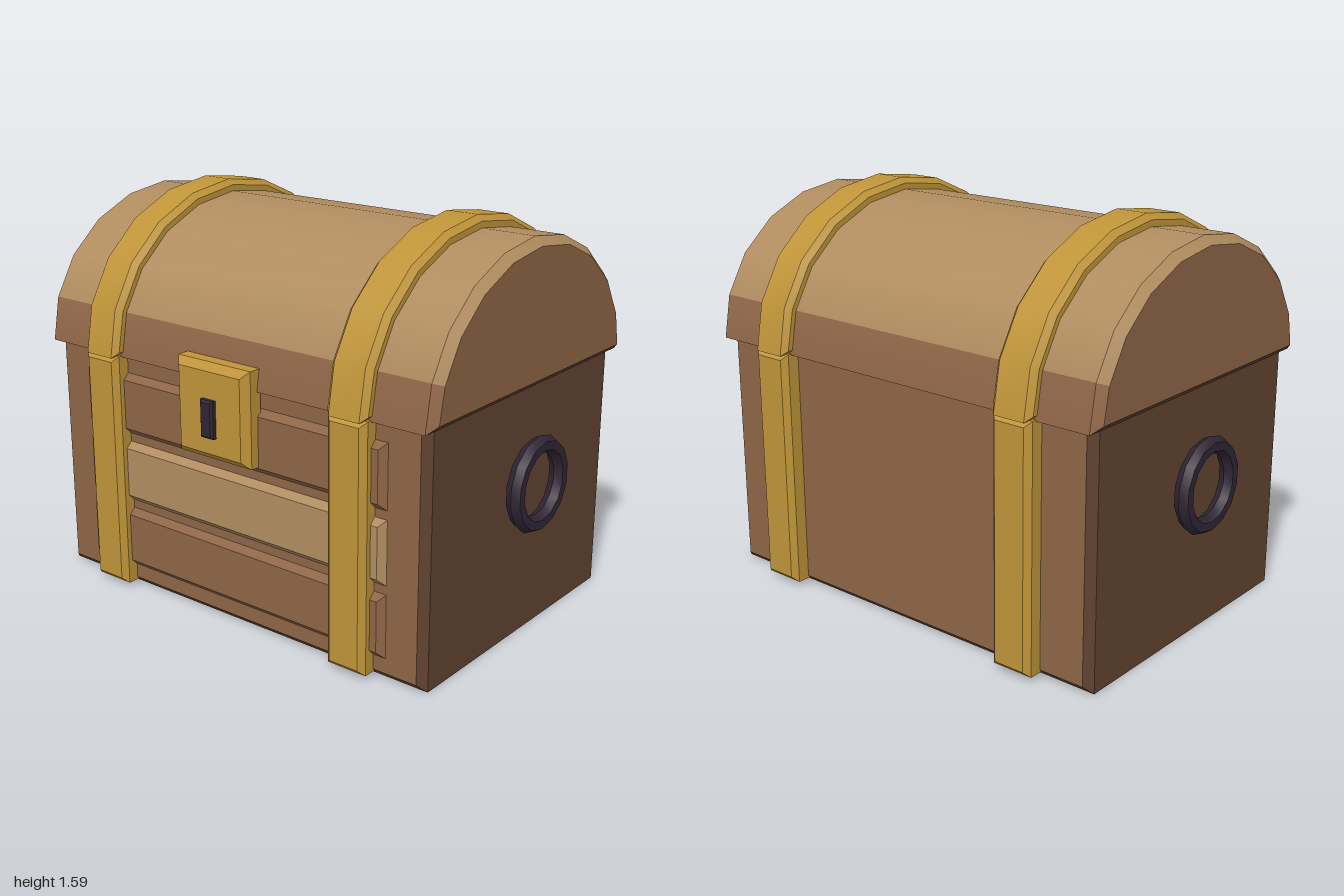
import * as THREE from 'three';
import { toCreasedNormals } from 'three/addons/utils/BufferGeometryUtils.js';

const mat = (name, color) => {
  const m = new THREE.MeshStandardMaterial({ color });
  m.name = name;
  return m;
};

// Extrude a shape along z, centred, with chamfered edges kept inside its outline
function chamferExtrude(shape, depth, bevel) {
  const g = new THREE.ExtrudeGeometry(shape, {
    depth: depth - 2 * bevel, bevelEnabled: true, bevelSegments: 1,
    bevelSize: bevel, bevelThickness: bevel, bevelOffset: -bevel,
  });
  g.translate(0, 0, bevel - depth / 2);
  return g;
}

// Box from minimum and maximum corners, chamfered on its front and back edges
function chamferBox(x0, x1, y0, y1, z0, z1, bevel) {
  const s = new THREE.Shape([[x0, y0], [x1, y0], [x1, y1], [x0, y1]].map(p => new THREE.Vector2(...p)));
  const g = chamferExtrude(s, z1 - z0, bevel);
  g.translate(0, 0, (z0 + z1) / 2);
  return g;
}

// Half-elliptic arch running along x
const CENTER_Z = -0.02, LID_Y = 0.98;
function arch(a, b, width, bevel, x = 0) {
  const pts = [];
  for (let i = 0; i <= 10; i++) {
    const t = (i / 10) * Math.PI;
    pts.push(new THREE.Vector2(a * Math.cos(t), b * Math.sin(t)));
  }
  const g = chamferExtrude(new THREE.Shape(pts), width, bevel);
  g.rotateY(Math.PI / 2);
  g.translate(x, LID_Y, CENTER_Z);
  return toCreasedNormals(g, 0.55);
}

// Give each triangle a material index chosen from its centre and normal
function paint(g, rule) {
  const p = g.attributes.position, tri = new THREE.Triangle();
  const c = new THREE.Vector3(), n = new THREE.Vector3();
  g.clearGroups();
  for (let i = 0; i < p.count; i += 3) {
    tri.setFromAttributeAndIndices(p, i, i + 1, i + 2);
    tri.getMidpoint(c);
    tri.getNormal(n);
    const k = rule(c, n), last = g.groups[g.groups.length - 1];
    if (last && last.materialIndex === k) last.count += 3;
    else g.addGroup(i, 3, k);
  }
  return g;
}

export function createModel() {
  const brown = mat('brown wood', 0x8e6546);
  const dark = mat('dark wood', 0x614331);
  const tan = mat('tan wood', 0xb08c5f);
  const gold = mat('gold metal', 0xbf9439);
  const black = mat('dark iron', 0x2f2533);

  const model = new THREE.Group();
  model.name = 'treasureChest';
  const add = (name, geo, material) => {
    const m = new THREE.Mesh(geo, material);
    m.name = name;
    model.add(m);
    return m;
  };

  // Body: lighter front and back panels, dark sides and edges
  const body = chamferBox(-0.91, 0.91, 0, 1.0, -0.64, 0.605, 0.03);
  add('body', paint(body, (c, n) => (Math.abs(n.z) > 0.95 ? 0 : 1)), [brown, dark]);

  // Lid: tan vault with a brown lowest board, brown ends and dark underside
  const lid = arch(0.653, 0.56, 1.89, 0.032);
  add('lid', paint(lid, (c, n) => {
    if (n.y < -0.3) return 2;
    if (Math.abs(n.x) > 0.95) return 0;
    const rim = Math.abs(c.z - CENTER_Z) / 0.653, rise = (c.y - LID_Y) / 0.56;
    return Math.atan2(rise, rim) < Math.PI / 10 ? 0 : 1;
  }), [brown, tan, dark]);

  // Raised front planks
  [[0.09, brown], [0.375, tan], [0.66, brown]].forEach(([y, m], i) =>
    add('frontPlank' + (i + 1), chamferBox(-0.745, 0.745, y, y + 0.25, 0.57, 0.63, 0.025), m));

  for (const side of [-1, 1]) {
    const label = side > 0 ? 'left' : 'right';
    // Metal straps over the lid and down the front and back
    const x = side * 0.605;
    add(label + 'LidStrap', arch(0.694, 0.607, 0.176, 0.022, x), gold);
    add(label + 'FrontStrap', chamferBox(x - 0.086, x + 0.086, 0.02, 0.985, 0.57, 0.672, 0.022), gold);
    add(label + 'BackStrap', chamferBox(x - 0.086, x + 0.086, 0.02, 0.985, -0.712, -0.61, 0.022), gold);

    // Ring handle
    const ring = toCreasedNormals(new THREE.TorusGeometry(0.155, 0.034, 6, 14), 0.55);
    ring.rotateZ(Math.PI / 2);
    ring.rotateY(Math.PI / 2);
    add(label + 'RingHandle', ring, black).position.set(side * 0.97, 0.62, CENTER_Z);
  }

  // Lock plate and keyhole
  add('lockPlate', chamferBox(-0.178, 0.178, 0.69, 1.065, 0.585, 0.695, 0.028), gold);
  add('keyhole', chamferBox(-0.031, 0.031, 0.785, 0.932, 0.67, 0.718, 0.008), black);

  return model;
}
